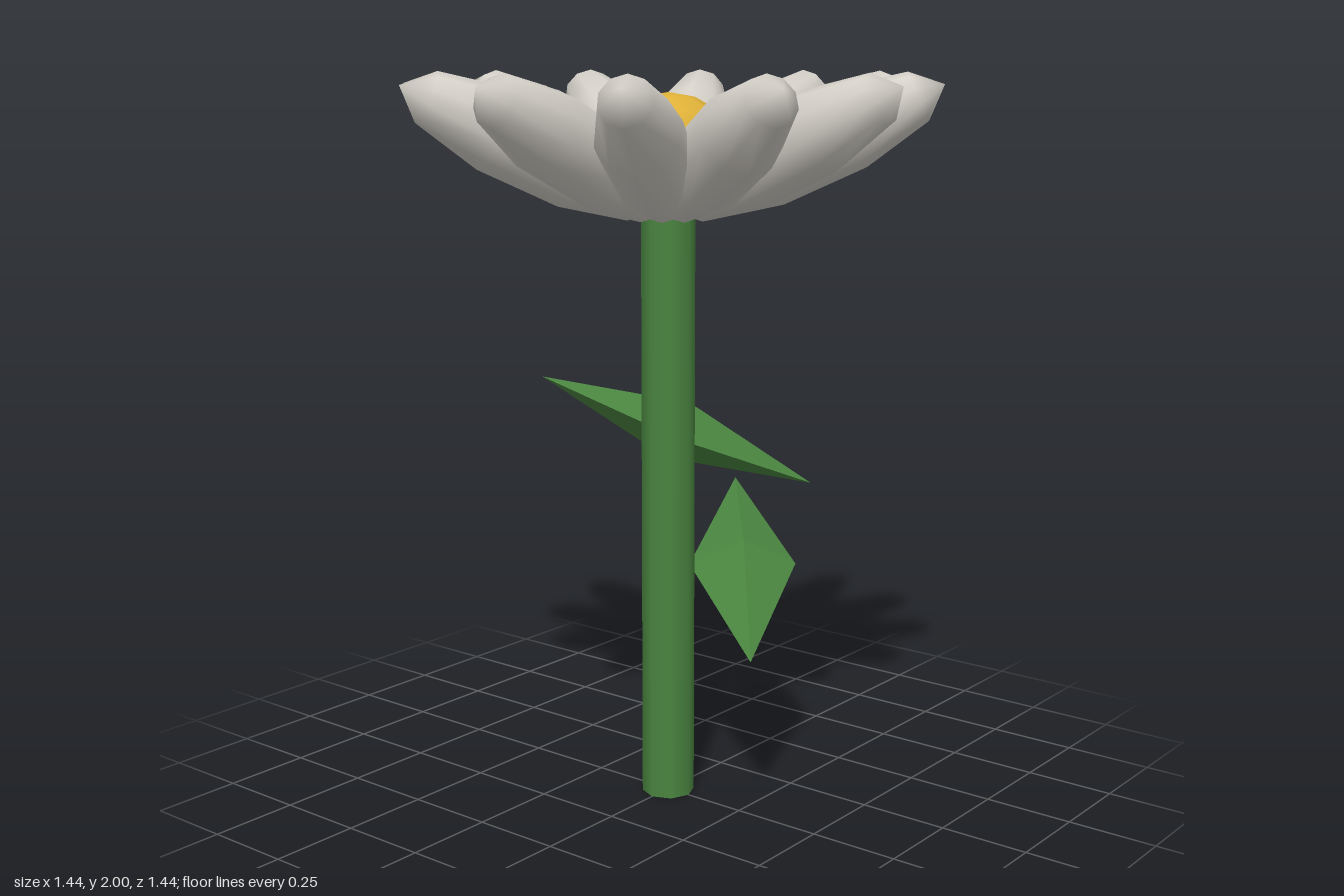
import * as THREE from 'three';

const mat = (name, color, flatShading = false) => {
  const m = new THREE.MeshStandardMaterial({ color, flatShading });
  m.name = name;
  return m;
};

export function createModel() {
  const group = new THREE.Group();
  const green = mat('leafGreen', 0x4a8540);
  const white = mat('petalWhite', 0xd4d0c8);
  const yellow = mat('centreYellow', 0xdfb138);

  const add = (name, geometry, material, parent = group) => {
    const mesh = new THREE.Mesh(geometry, material);
    mesh.name = name;
    parent.add(mesh);
    return mesh;
  };

  // Stem: eight-sided, smooth
  add('stem', new THREE.CylinderGeometry(0.073, 0.073, 1.7, 8), green).position.y = 0.85;

  // Flower centre: slightly flattened ball
  const centre = add('flowerCentre', new THREE.SphereGeometry(0.185, 8, 8), yellow);
  centre.scale.y = 0.865;
  centre.position.y = 1.79;

  // Petals: stretched ellipsoids with poles at root and tip, tilted upward
  const petalGeo = new THREE.SphereGeometry(1, 10, 5);
  petalGeo.scale(0.117, 0.385, 0.117);
  petalGeo.rotateZ(-Math.PI / 2 + 0.434);
  petalGeo.translate(0.37, 1.81, 0);
  const petals = new THREE.Group();
  petals.name = 'petals';
  group.add(petals);
  for (let i = 0; i < 12; i++) {
    add('petal', petalGeo, white, petals).rotation.y = (i * Math.PI) / 6;
  }

  // Leaves: faceted diamonds spanned between two tips
  const addLeaf = (name, from, to) => {
    const a = new THREE.Vector3(...from);
    const b = new THREE.Vector3(...to);
    const axis = b.clone().sub(a).normalize();
    const side = axis.clone().cross(new THREE.Vector3(0, 1, 0)).normalize();
    const up = side.clone().cross(axis);
    const geo = new THREE.OctahedronGeometry(1, 0);
    geo.scale(a.distanceTo(b) / 2, 0.086, 0.15);
    geo.applyMatrix4(new THREE.Matrix4().makeBasis(axis, up, side));
    const leaf = add(name, geo, green);
    leaf.position.copy(a).add(b).multiplyScalar(0.5);
  };
  addLeaf('lowerLeaf', [-0.09, 0.475, 0.35], [0.5, 0.8, -0.14]);
  addLeaf('upperLeaf', [-0.08, 1.16, -0.39], [0.455, 0.835, 0.165]);

  return group;
}
